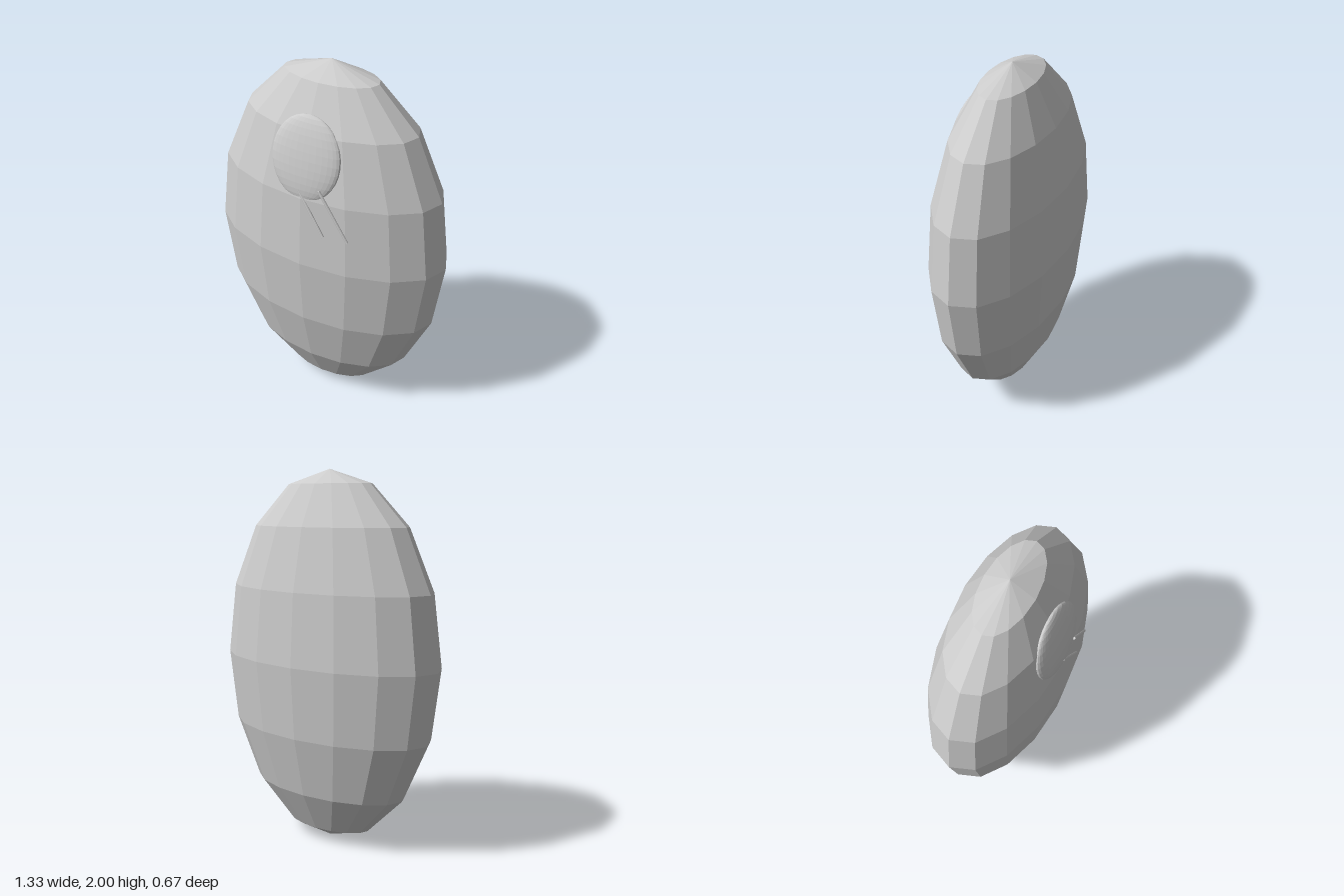
import * as THREE from 'three';

export function createModel() {
  const model = new THREE.Group();
  const grey = new THREE.MeshStandardMaterial({ color: 0xcccccc, flatShading: true });
  grey.name = 'pale grey';

  // Faceted ellipsoid
  const ellipsoid = (name, radii, position, widthSegments, heightSegments) => {
    const geometry = new THREE.SphereGeometry(1, widthSegments, heightSegments);
    geometry.scale(...radii);
    const mesh = new THREE.Mesh(geometry, grey);
    mesh.name = name;
    mesh.position.set(...position);
    model.add(mesh);
    return mesh;
  };

  // Thin round rod between two points
  const rod = (name, start, end, radius) => {
    const a = new THREE.Vector3(...start);
    const b = new THREE.Vector3(...end);
    const mesh = new THREE.Mesh(new THREE.CylinderGeometry(radius, radius, a.distanceTo(b), 8), grey);
    mesh.name = name;
    mesh.position.copy(a).add(b).multiplyScalar(0.5);
    mesh.quaternion.setFromUnitVectors(new THREE.Vector3(0, 1, 0), b.sub(a).normalize());
    model.add(mesh);
  };

  // Flattened low-poly body
  ellipsoid('body', [0.667, 1, 0.333], [0, 1, 0], 16, 8);

  // Oval boss leaning back along the body's front
  const boss = ellipsoid('frontBoss', [0.19, 0.219, 0.039], [0, 1.58, 0.246], 32, 16);
  boss.rotation.x = -0.215;

  // Two slanted rods below the boss
  rod('rightRod', [-0.015, 1.43, 0.301], [0.132, 1.205, 0.317], 0.007);
  rod('leftRod', [0.1, 1.455, 0.3], [0.26, 1.205, 0.301], 0.007);

  return model;
}
